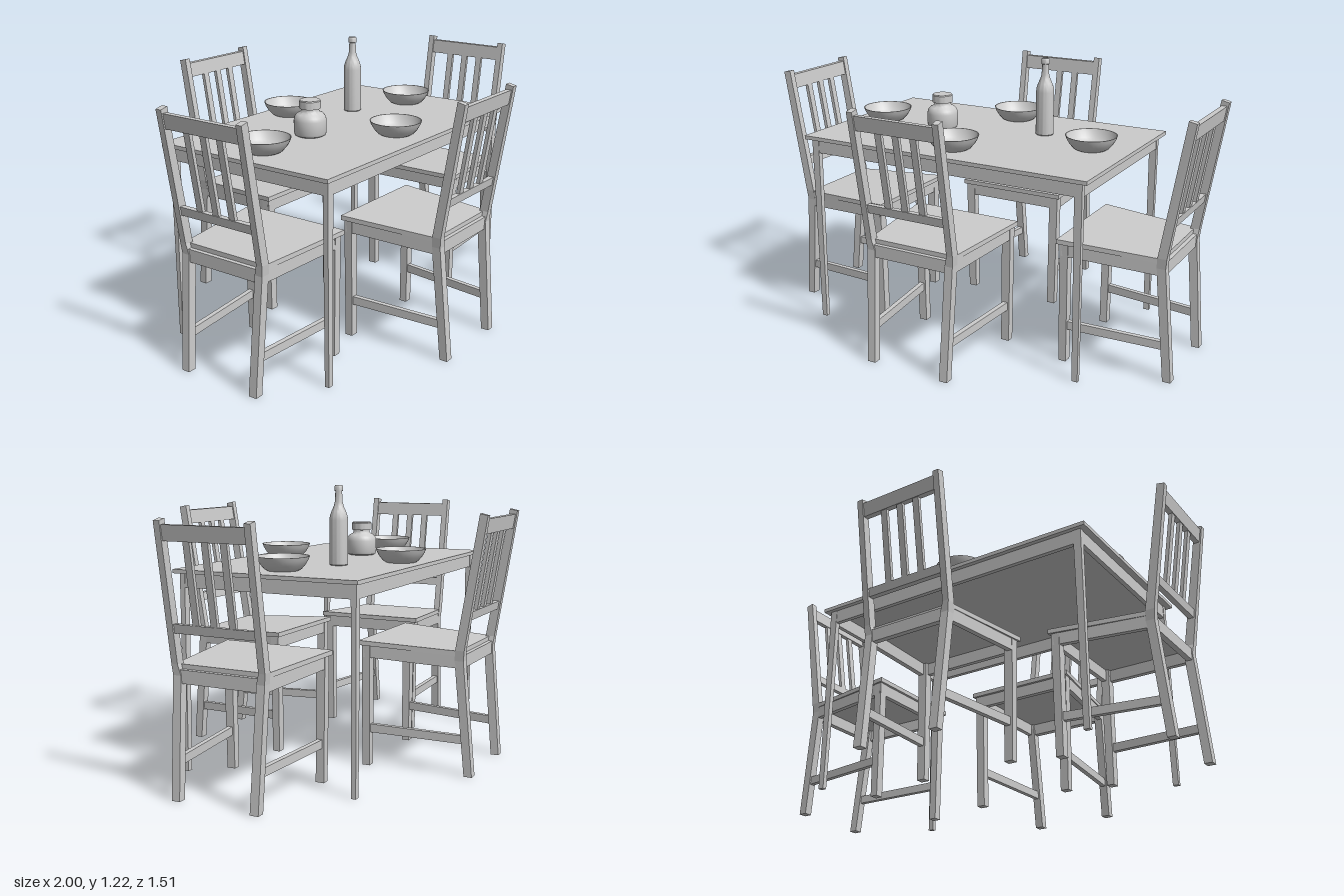
import * as THREE from 'three';
import { toCreasedNormals } from 'three/addons/utils/BufferGeometryUtils.js';

const grey = new THREE.MeshStandardMaterial({ color: 0xcccccc });

function add(parent, name, geometry) {
  const mesh = new THREE.Mesh(geometry, grey);
  mesh.name = name;
  parent.add(mesh);
  return mesh;
}

// Horizontal four-corner ring; stack upwards. yb is the height at the larger z.
function level(y, xa, xb, za, zb, yb = y) {
  const [x0, x1] = [Math.min(xa, xb), Math.max(xa, xb)];
  return [[x0, y, za], [x0, yb, zb], [x1, yb, zb], [x1, y, za]];
}

// Upright four-corner ring; line up towards +z.
function upright(z, xa, xb, y0, y1) {
  const [x0, x1] = [Math.min(xa, xb), Math.max(xa, xb)];
  return [[x0, y0, z], [x1, y0, z], [x1, y1, z], [x0, y1, z]];
}

// Flat-faced solid through a series of rings, capped at both ends.
function loft(...rings) {
  const pos = [];
  const quad = (a, b, c, d) => pos.push(...a, ...b, ...c, ...a, ...c, ...d);
  for (let r = 0; r + 1 < rings.length; r++) {
    const a = rings[r], b = rings[r + 1];
    for (let i = 0; i < 4; i++) {
      const j = (i + 1) % 4;
      quad(a[i], a[j], b[j], b[i]);
    }
  }
  const first = rings[0], last = rings[rings.length - 1];
  quad(first[3], first[2], first[1], first[0]);
  quad(...last);
  const g = new THREE.BufferGeometry();
  g.setAttribute('position', new THREE.Float32BufferAttribute(pos, 3));
  g.computeVertexNormals();
  return g;
}

function turned(profile, segments = 36) {
  const points = profile.map(([r, y]) => new THREE.Vector2(r, y));
  return toCreasedNormals(new THREE.LatheGeometry(points, segments), 0.6);
}

// Chair with its back towards +z; the top of the back is at z = 0.
function createChair() {
  const chair = new THREE.Group();
  chair.name = 'chair';
  const half = z => 0.197 - 0.108 * z;          // side edge of the tapering seat
  const lean = y => -0.11 + 0.163 * (y - 0.545); // middle of the leaning back

  add(chair, 'seat', loft(
    upright(-0.556, -half(-0.556), half(-0.556), 0.54, 0.56),
    upright(-0.115, -half(-0.115), half(-0.115), 0.522, 0.543)));

  for (const s of [-1, 1]) {
    // rear leg and back post in one bent piece
    add(chair, 'backLegAndPost', loft(
      level(0, s * 0.162, s * 0.2, -0.086, -0.05),
      level(0.5, s * 0.172, s * 0.209, -0.133, -0.094),
      level(0.545, s * 0.184, s * 0.213, -0.13, -0.09),
      level(1.118, s * 0.186, s * 0.214, -0.034, 0, 1.11)));
    add(chair, 'frontLeg', loft(
      level(0, s * 0.2, s * 0.238, -0.544, -0.51),
      level(0.54, s * 0.205, s * 0.246, -0.546, -0.508)));
    add(chair, 'sideStretcher', loft(
      upright(-0.515, s * 0.21, s * 0.232, 0.15, 0.187),
      upright(-0.085, s * 0.172, s * 0.194, 0.14, 0.176)));
    add(chair, 'sideApron', loft(
      upright(-0.54, s * 0.222, s * 0.246, 0.487, 0.541),
      upright(-0.1, s * 0.184, s * 0.206, 0.468, 0.523)));
  }
  add(chair, 'frontApron', loft(
    upright(-0.544, -0.22, 0.22, 0.487, 0.54),
    upright(-0.522, -0.22, 0.22, 0.486, 0.539)));
  add(chair, 'backApron', loft(
    upright(-0.124, -0.19, 0.19, 0.469, 0.524),
    upright(-0.098, -0.19, 0.19, 0.468, 0.523)));

  // rails and slats follow the lean of the back
  const panel = (name, x0, x1, y0, y1, t) => add(chair, name, loft(
    level(y0, x0, x1, lean(y0) - t, lean(y0) + t),
    level(y1, x0, x1, lean(y1) - t, lean(y1) + t)));
  panel('topRail', -0.19, 0.19, 1.032, 1.095, 0.012);
  panel('lowerRail', -0.19, 0.19, 0.67, 0.707, 0.012);
  for (const x of [-0.083, 0, 0.083]) panel('backSlat', x - 0.015, x + 0.015, 0.7, 1.04, 0.008);
  return chair;
}

function createTable() {
  const table = new THREE.Group();
  table.name = 'table';
  const box = (name, w, h, d, x, y, z) =>
    add(table, name, new THREE.BoxGeometry(w, h, d)).position.set(x, y, z);
  box('tableTop', 1.381, 0.017, 0.861, 0, 0.8715, 0);
  for (const s of [-1, 1]) {
    box('longApron', 1.32, 0.062, 0.02, 0, 0.833, s * 0.4);
    box('shortApron', 0.02, 0.062, 0.8, s * 0.652, 0.833, 0);
    for (const t of [-1, 1]) {
      const z = [t * 0.412, t * 0.388].sort((a, b) => a - b);
      const zLow = [t * 0.412, t * 0.392].sort((a, b) => a - b);
      add(table, 'tableLeg', loft(
        level(0, s * 0.638, s * 0.664, ...zLow),
        level(0.864, s * 0.629, s * 0.664, ...z)));
    }
  }
  table.position.set(-0.053, 0, 0.025);
  return table;
}

export function createModel() {
  const model = new THREE.Group();
  model.name = 'diningSet';
  model.add(createTable());

  // one chair on each side: x, z, turn
  for (const [x, z, turn] of [
    [-0.055, 0.756, 0], [-0.055, -0.756, Math.PI],
    [1, 0.058, Math.PI / 2], [-1, 0.058, -Math.PI / 2]]) {
    const chair = createChair();
    chair.position.set(x, 0, z);
    chair.rotation.y = turn;
    model.add(chair);
  }

  // tableware
  const surface = 0.88;
  const bowl = turned([[0, 0], [0.068, 0], [0.078, 0.006], [0.094, 0.024], [0.106, 0.044], [0.112, 0.06],
    [0.108, 0.06], [0.101, 0.044], [0.089, 0.025], [0.073, 0.01], [0.055, 0.006], [0, 0.005]]);
  for (const [x, z] of [[-0.594, 0.024], [0.46, 0.024], [-0.057, -0.283], [-0.057, 0.305]]) {
    add(model, 'bowl', bowl).position.set(x, surface, z);
  }
  add(model, 'jar', turned([[0, 0], [0.058, 0], [0.066, 0.005], [0.07, 0.015], [0.07, 0.068], [0.066, 0.084],
    [0.056, 0.096], [0.042, 0.103], [0.038, 0.11], [0.038, 0.118], [0.046, 0.119], [0.046, 0.151],
    [0.043, 0.155], [0, 0.155]])).position.set(-0.288, surface, 0.022);
  add(model, 'bottle', turned([[0, 0], [0.037, 0], [0.04, 0.004], [0.04, 0.195], [0.038, 0.213], [0.031, 0.233],
    [0.022, 0.253], [0.017, 0.272], [0.0145, 0.318], [0.0185, 0.32], [0.0185, 0.338], [0.015, 0.344],
    [0, 0.344]])).position.set(0.179, surface, -0.092);
  return model;
}
